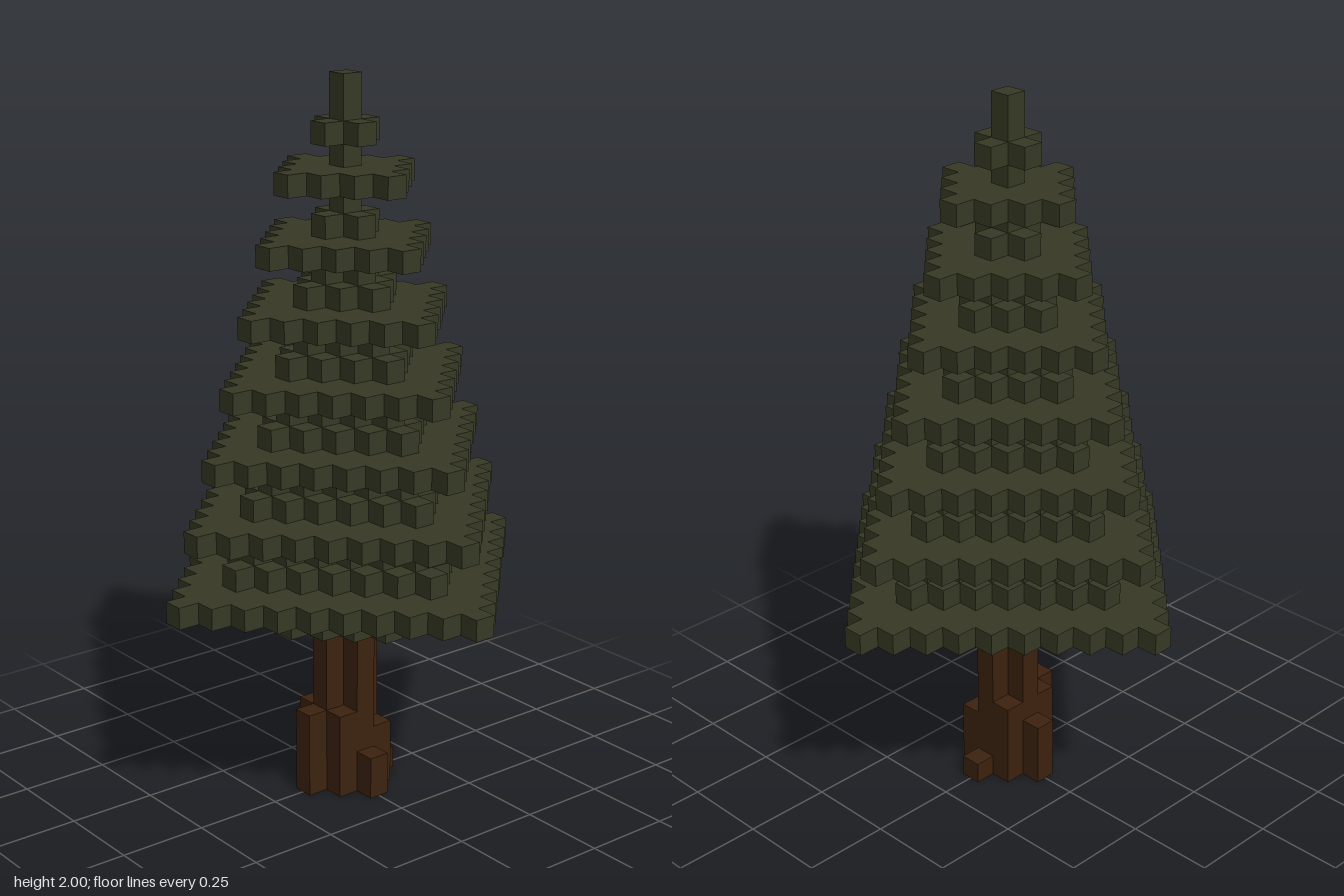
import * as THREE from 'three';

const U = 2 / 33; // edge of one block

// Stepped diamond of blocks with the given radius, extruded upward from y = 0
function diamondGeometry(radius, layers) {
  const points = [];
  for (let q = 0; q < 4; q++) {
    const turn = (x, y) => {
      const p = [[x, y], [-y, x], [-x, -y], [y, -x]][q];
      points.push(new THREE.Vector2(p[0] * U, p[1] * U));
    };
    for (let k = 0; k <= radius; k++) {
      turn(radius - k + 0.5, k - 0.5);
      if (k < radius) turn(radius - k + 0.5, k + 0.5);
    }
  }
  const geometry = new THREE.ExtrudeGeometry(new THREE.Shape(points), { depth: layers * U, bevelEnabled: false });
  return geometry.rotateX(-Math.PI / 2);
}

export function createModel() {
  const tree = new THREE.Group();
  tree.name = 'blockPineTree';

  const needles = new THREE.MeshStandardMaterial({ color: 0x373a25 });
  needles.name = 'needleGreen';
  const bark = new THREE.MeshStandardMaterial({ color: 0x3d220f });
  bark.name = 'barkBrown';

  const add = (parent, name, geometry, material, x, y, z) => {
    const mesh = new THREE.Mesh(geometry, material);
    mesh.name = name;
    mesh.position.set(x * U, y * U, z * U);
    parent.add(mesh);
  };

  // Trunk: cross-shaped core with root blocks of uneven height [x, z, height]
  const trunk = new THREE.Group();
  trunk.name = 'trunk';
  tree.add(trunk);
  add(trunk, 'trunkCore', diamondGeometry(1, 8), bark, 0, 0, 0);
  const roots = [
    [0, 2, 4], [1, 1, 4], [-1, 1, 4], [-1, -1, 4],
    [1, -1, 3], [-2, 0, 3], [2, 0, 2], [0, -2, 1],
  ];
  for (const [x, z, h] of roots) {
    add(trunk, 'root', new THREE.BoxGeometry(U, h * U, U), bark, x, h / 2, z);
  }

  // Foliage: one diamond per block layer, wide boughs between narrower layers
  const foliage = new THREE.Group();
  foliage.name = 'foliage';
  tree.add(foliage);
  const radii = [3, 5, 9, 6, 5, 8, 5, 4, 7, 4, 3, 6, 3, 2, 5, 2, 1, 4, 1, 0, 3, 0, 1, 0, 0];
  radii.forEach((r, i) => {
    add(foliage, 'foliageLayer', diamondGeometry(r, 1), needles, 0, 8 + i, 0);
  });

  return tree;
}
